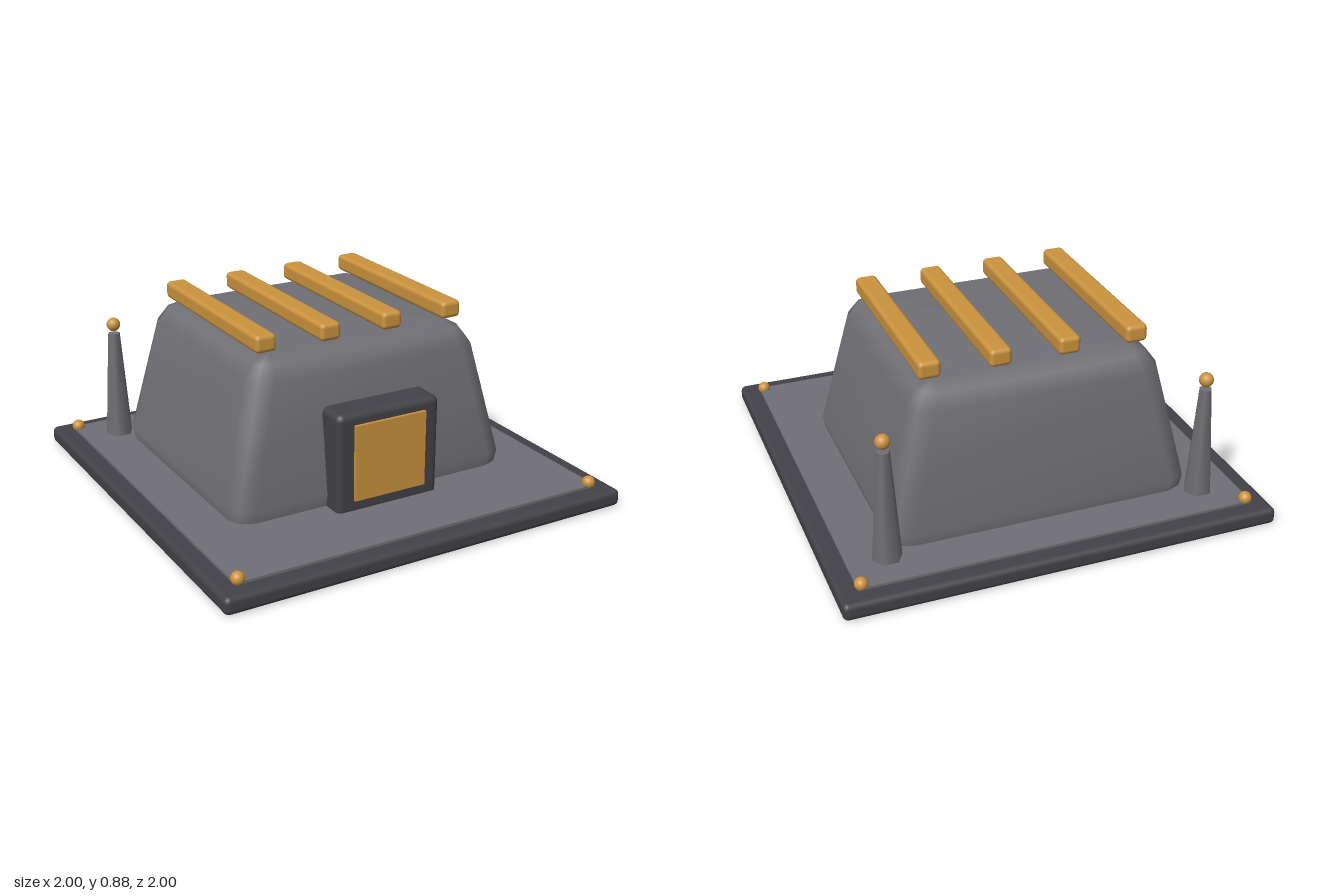
import * as THREE from 'three';
import { RoundedBoxGeometry } from 'three/addons/geometries/RoundedBoxGeometry.js';

function makeMaterial(name, color) {
  const m = new THREE.MeshStandardMaterial({ color });
  m.name = name;
  return m;
}

// Tapered body: rounded rectangles stacked in rings, closed by a flat roof
function bodyGeometry() {
  // y, half width, half depth, corner radius
  const levels = [
    [0.07, 0.695, 0.6, 0.09], [0.15, 0.71, 0.615, 0.1], [0.42, 0.645, 0.583, 0.1],
    [0.69, 0.58, 0.55, 0.1], [0.76, 0.53, 0.505, 0.07], [0.79, 0.46, 0.44, 0.01],
  ];
  const corners = [[1, 1], [-1, 1], [-1, -1], [1, -1]];
  const steps = 2, n = corners.length * (steps + 1);
  const positions = [], index = [];
  for (const [y, w, d, r] of levels) {
    corners.forEach(([sx, sz], q) => {
      for (let s = 0; s <= steps; s++) {
        const a = (q + s / steps) * Math.PI / 2;
        positions.push(sx * (w - r) + r * Math.cos(a), y, sz * (d - r) + r * Math.sin(a));
      }
    });
  }
  for (let l = 0; l < levels.length - 1; l++) {
    for (let j = 0; j < n; j++) {
      const a = l * n + j, b = l * n + (j + 1) % n;
      index.push(a, a + n, b, b, a + n, b + n);
    }
  }
  const top = (levels.length - 1) * n;
  positions.push(0, 0.79, 0);
  for (let j = 0; j < n; j++) index.push(top + n, top + (j + 1) % n, top + j);
  const g = new THREE.BufferGeometry();
  g.setAttribute('position', new THREE.Float32BufferAttribute(positions, 3));
  g.setIndex(index);
  g.computeVertexNormals();
  return g;
}

export function createModel() {
  const model = new THREE.Group();
  model.name = 'bunker';
  const dark = makeMaterial('dark metal', 0x434248);
  const grey = makeMaterial('grey metal', 0x706f75);
  const amber = makeMaterial('amber', 0xcb933e);

  const add = (name, geometry, material, x, y, z) => {
    const mesh = new THREE.Mesh(geometry, material);
    mesh.name = name;
    mesh.position.set(x, y, z);
    model.add(mesh);
    return mesh;
  };

  // Ground plate and its raised deck
  add('basePlate', new RoundedBoxGeometry(2, 0.08, 2, 2, 0.025), dark, 0, 0.04, 0);
  add('deck', new THREE.BoxGeometry(1.83, 0.04, 1.83), grey, 0, 0.072, 0);

  add('body', bodyGeometry(), grey, 0, 0, -0.107);

  // Doorway with glowing panel
  add('doorFrame', new RoundedBoxGeometry(0.52, 0.48, 0.2, 2, 0.03), dark, 0, 0.31, 0.5);
  add('doorPanel', new THREE.BoxGeometry(0.36, 0.355, 0.03), amber, 0, 0.32, 0.6);

  // Roof bars
  const bar = new RoundedBoxGeometry(0.1, 0.08, 0.945, 2, 0.02);
  for (let i = 0; i < 4; i++) add('roofBar', bar, amber, (i - 1.5) * 0.316, 0.845, -0.107);

  // Hexagonal spires at the rear, and a stud on each corner of the deck
  const spire = new THREE.CylinderGeometry(0.03, 0.068, 0.53, 6);
  const tip = new THREE.SphereGeometry(0.033, 16, 12);
  const stud = new THREE.SphereGeometry(0.03, 16, 12);
  for (const side of [-1, 1]) {
    add('spire', spire, grey, side * 0.737, 0.345, -0.742).rotation.y = Math.PI / 6;
    add('spireTip', tip, amber, side * 0.737, 0.655, -0.742);
    for (const end of [-1, 1]) add('cornerStud', stud, amber, side * 0.895, 0.1, end * 0.895);
  }
  return model;
}
